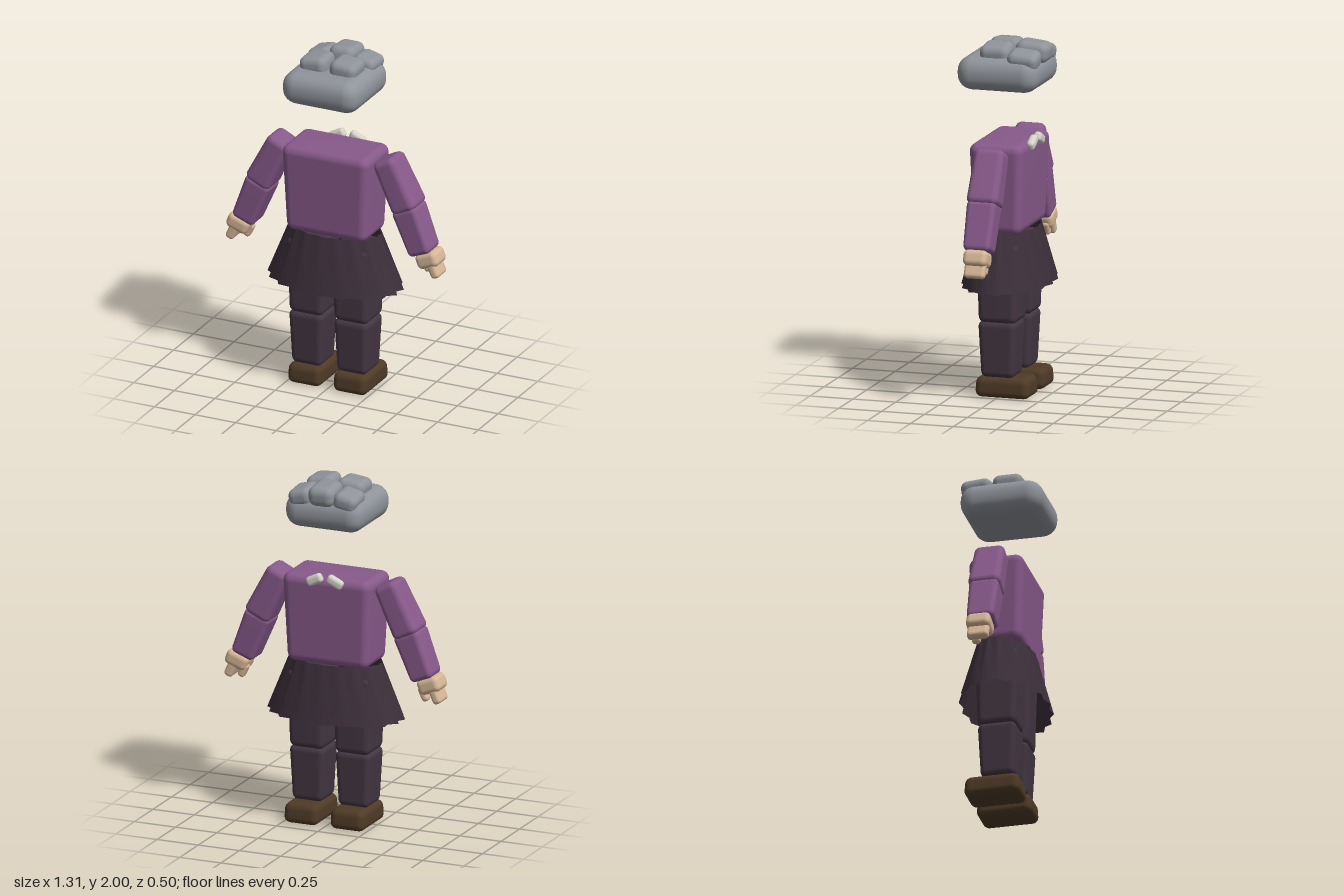
import * as THREE from 'three';
import { mergeVertices } from 'three/addons/utils/BufferGeometryUtils.js';
import { RoundedBoxGeometry } from 'three/addons/geometries/RoundedBoxGeometry.js';

const material = (name, color, extra = {}) => {
  const m = new THREE.MeshStandardMaterial({ color, ...extra });
  m.name = name;
  return m;
};

// Smooth rounded block; its lower end is scaled by bx and bz relative to its top
function softBox(w, h, d, r, bx = 1, bz = bx) {
  let g = new RoundedBoxGeometry(w, h, d, 4, r);
  const p = g.attributes.position;
  for (let i = 0; i < p.count; i++) {
    const t = 0.5 - p.getY(i) / h;
    p.setX(i, p.getX(i) * (1 + (bx - 1) * t));
    p.setZ(i, p.getZ(i) * (1 + (bz - 1) * t));
  }
  g.deleteAttribute('normal');
  g.deleteAttribute('uv');
  g = mergeVertices(g, 1e-4);
  g.computeVertexNormals();
  return g;
}

// Flared skirt: 18 pleats running round an ellipse
function pleatedSkirt(top, bottom) {
  const pleats = 18, n = pleats * 2, pos = [], index = [];
  for (const [y, a, b, valley] of [[top, 0.275, 0.165, 0.95], [bottom, 0.405, 0.252, 0.92]]) {
    for (let i = 0; i < n; i++) {
      const t = Math.PI / 2 + (i / n) * Math.PI * 2;
      const k = i % 2 ? valley : 1;
      pos.push(Math.cos(t) * a * k, y, Math.sin(t) * b * k);
    }
  }
  for (let i = 0; i < n; i++) {
    const j = (i + 1) % n;
    index.push(i, j, n + i, j, n + j, n + i);
  }
  const g = new THREE.BufferGeometry();
  g.setAttribute('position', new THREE.Float32BufferAttribute(pos, 3));
  g.setIndex(index);
  g.computeVertexNormals();
  return g;
}

export function createModel() {
  const model = new THREE.Group();
  model.name = 'figure';

  const purple = material('purple cardigan', 0x87598a);
  const skirtDark = material('dark skirt', 0x3c2f3a, { side: THREE.DoubleSide });
  const stocking = material('dark stockings', 0x433642);
  const brown = material('brown leather', 0x4e3a26);
  const skin = material('skin', 0xd6b797);
  const grey = material('grey hair', 0x8f939a);
  const cream = material('cream collar', 0xd6d3c8);

  const add = (name, geometry, mat, pos = [0, 0, 0], rot = [0, 0, 0]) => {
    const m = new THREE.Mesh(geometry, mat);
    m.name = name;
    m.position.set(...pos);
    m.rotation.set(...rot);
    model.add(m);
    return m;
  };

  // Body and skirt
  add('torso', softBox(0.54, 0.515, 0.315, 0.05, 0.91, 0.88), purple, [0, 1.188, 0.002]);
  add('skirt', pleatedSkirt(0.943, 0.622), skirtDark);

  // Hair: a broad cap with five curls on top
  add('hairCap', softBox(0.47, 0.19, 0.47, 0.085), grey, [0, 1.825, 0.015]);
  add('backCurl', softBox(0.155, 0.115, 0.19, 0.045), grey, [0, 1.938, -0.142], [-0.1, 0, 0]);

  for (const s of [1, -1]) {
    const side = s > 0 ? 'left' : 'right';
    // Mirrored placement: x and the z turn follow the side
    const pair = (name, geometry, mat, [x, y, z], turn = 0, tilt = 0) =>
      add(side + name, geometry, mat, [x * s, y, z], [tilt, 0, turn * s]);

    pair('FrontCurl', softBox(0.163, 0.105, 0.172, 0.042), grey, [0.092, 1.935, 0.043], -0.12);
    pair('SideCurl', softBox(0.14, 0.1, 0.175, 0.04), grey, [0.135, 1.912, -0.128], -0.25, -0.08);

    // Collar tabs
    pair('Collar', softBox(0.1, 0.055, 0.045, 0.02), cream, [0.062, 1.431, -0.152], -0.45);

    // Arm
    pair('UpperArm', softBox(0.14, 0.32, 0.172, 0.035, 1.15, 1.08), purple, [0.388, 1.282, -0.002], 0.46);
    pair('Forearm', softBox(0.158, 0.28, 0.17, 0.03, 0.88, 0.92), purple, [0.497, 1.028, 0], 0.38);

    // Hand
    pair('Palm', softBox(0.135, 0.09, 0.138, 0.03), skin, [0.583, 0.868, -0.003], 0.36);
    pair('Fingers', softBox(0.052, 0.1, 0.122, 0.02), skin, [0.619, 0.815, -0.003], 0.42);
    pair('Thumb', softBox(0.042, 0.085, 0.05, 0.018), skin, [0.547, 0.812, -0.03], -0.3 + 0.75);

    // Leg and shoe
    pair('Thigh', softBox(0.232, 0.46, 0.245, 0.04, 0.9), stocking, [0.138, 0.655, 0]);
    pair('Shin', softBox(0.212, 0.32, 0.222, 0.035, 0.86), stocking, [0.139, 0.277, 0.002]);
    pair('Shoe', softBox(0.2, 0.118, 0.305, 0.038, 1.05), brown, [0.14, 0.064, -0.028]);
  }
  return model;
}
